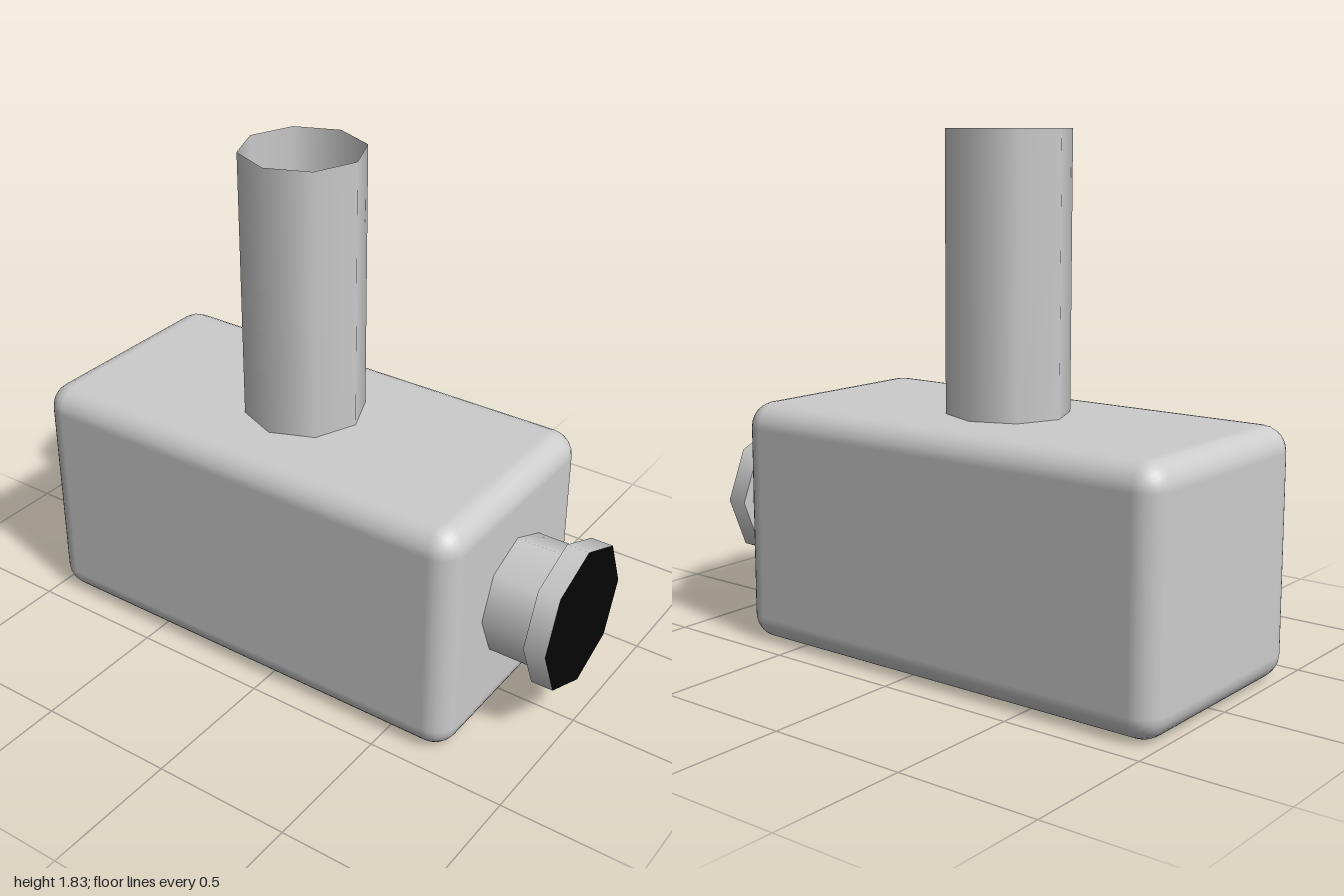
import * as THREE from 'three';
import { RoundedBoxGeometry } from 'three/addons/geometries/RoundedBoxGeometry.js';

const SIDES = 8;
const BODY_Z = -0.13; // middle of the body along z
const NOZZLE_Y = 0.44; // height of the front fitting's axis

export function createModel() {
  const model = new THREE.Group();
  const grey = new THREE.MeshStandardMaterial({ color: 0xcccccc });
  const greyThin = new THREE.MeshStandardMaterial({ color: 0xcccccc, side: THREE.DoubleSide });
  const black = new THREE.MeshStandardMaterial({ color: 0x050505 });

  const add = (name, geometry, material, x, y, z) => {
    const mesh = new THREE.Mesh(geometry, material);
    mesh.name = name;
    mesh.position.set(x, y, z);
    model.add(mesh);
    return mesh;
  };

  // Open eight-sided tube, standing along y
  const tube = (radius, length) =>
    new THREE.CylinderGeometry(radius, radius, length, SIDES, 1, true);

  // Rounded block
  add('body', new RoundedBoxGeometry(0.86, 0.87, 1.74, 3, 0.09), grey, 0, 0.435, BODY_Z);

  // Open upright pipe on top
  add('uprightPipe', tube(0.215, 0.96), greyThin, 0, 1.35, BODY_Z);

  // Front fitting: neck, wider rim, ring closing the rim's back, dark end face
  add('neck', tube(0.215, 0.19).rotateX(Math.PI / 2), greyThin, 0, NOZZLE_Y, 0.825);
  add('rim', tube(0.26, 0.08).rotateX(Math.PI / 2), greyThin, 0, NOZZLE_Y, 0.96);
  add('rimBack', new THREE.RingGeometry(0.215, 0.26, SIDES), greyThin, 0, NOZZLE_Y, 0.92);
  add('endFace', new THREE.CircleGeometry(0.26, SIDES), black, 0, NOZZLE_Y, 1);

  return model;
}
